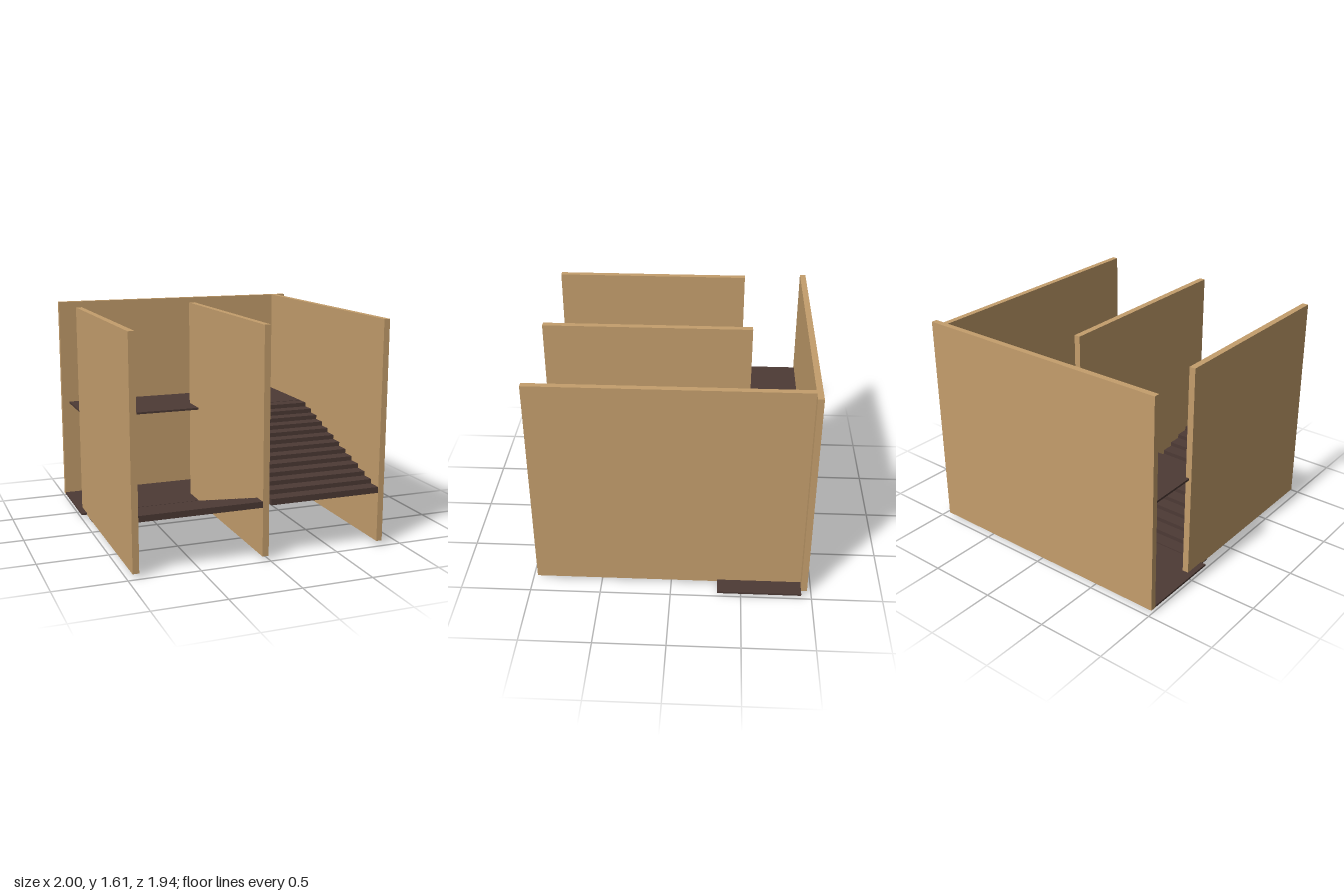
import * as THREE from 'three';

export function createModel() {
  const model = new THREE.Group();
  model.name = 'staircase';

  const wood = new THREE.MeshStandardMaterial({ color: 0xc49e6c });
  wood.name = 'light wood';
  const dark = new THREE.MeshStandardMaterial({ color: 0x4d3a35 });
  dark.name = 'dark brown';

  // Box given by its minimum and maximum on each axis
  function slab(name, material, [x0, x1], [y0, y1], [z0, z1], parent = model) {
    const mesh = new THREE.Mesh(new THREE.BoxGeometry(x1 - x0, y1 - y0, z1 - z0), material);
    mesh.position.set((x0 + x1) / 2, (y0 + y1) / 2, (z0 + z1) / 2);
    mesh.name = name;
    parent.add(mesh);
  }

  // Walls
  const wallY = [0.027, 1.605];
  slab('backWall', wood, [-1, 0.946], wallY, [-0.97, -0.927]);
  slab('leftWall', wood, [0.829, 0.872], wallY, [-0.927, 0.967]);
  slab('middleWall', wood, [-0.048, -0.003], wallY, [-0.54, 0.967]);
  slab('rightWall', wood, [-0.96, -0.915], wallY, [-0.49, 0.967]);

  // Landings
  const landingZ = [-0.926, -0.331];
  slab('lowerLanding', dark, [-1, 1], [0.028, 0.042], landingZ);
  slab('upperLanding', dark, [-0.942, 0.85], [0.785, 0.8], landingZ);

  // Flights of overlapping steps, counted from the front edge to the back
  const steps = 13, depth = 0.0989, height = 0.043, front = 0.963;
  function flight(name, x, frontBase, rise) {
    const group = new THREE.Group();
    group.name = name;
    for (let i = 0; i < steps; i++) {
      const y = frontBase + i * rise;
      const z = front - i * depth;
      slab('step', dark, x, [y, y + height], [z - depth, z], group);
    }
    model.add(group);
  }
  flight('lowerFlight', [-0.945, -0.036], 0.372, -0.031);
  flight('upperFlight', [0.015, 0.85], 0.382, 0.0312);

  return model;
}
